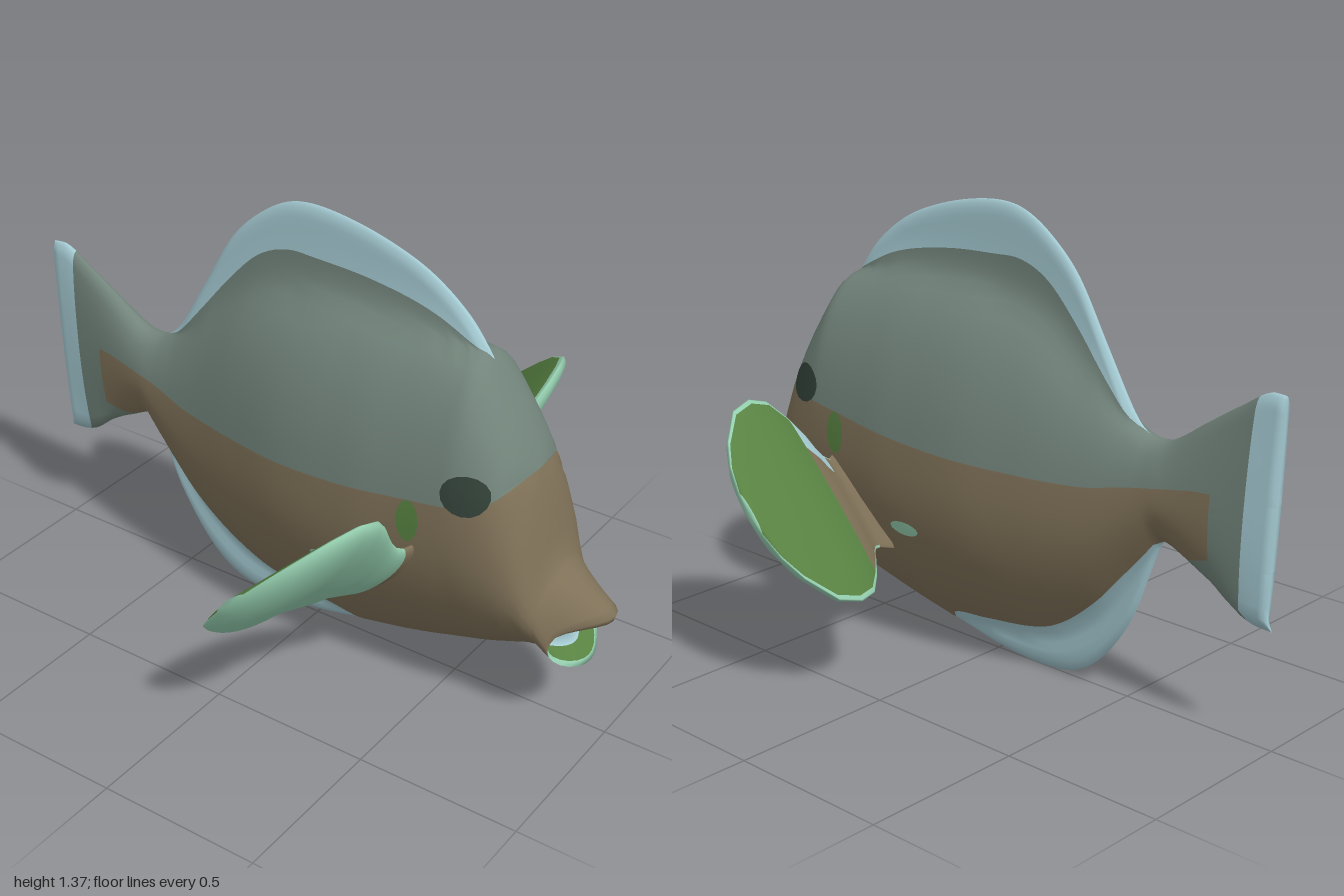
import * as THREE from 'three';
import { mergeVertices } from 'three/addons/utils/BufferGeometryUtils.js';

const paint = (name, color) => {
  const m = new THREE.MeshStandardMaterial({ color, side: THREE.DoubleSide });
  m.name = name;
  return m;
};
const { smoothstep, clamp } = THREE.MathUtils;

// Smooth curve through flat [z, value, z, value, ...] with falling z
function curve(t) {
  const n = t.length / 2, Z = i => t[2 * i], V = i => t[2 * i + 1];
  const slope = i => {
    const a = Math.max(i - 1, 0), b = Math.min(i + 1, n - 1);
    return (V(b) - V(a)) / (Z(b) - Z(a));
  };
  return z => {
    if (z >= Z(0)) return V(0);
    if (z <= Z(n - 1)) return V(n - 1);
    let i = 0;
    while (z < Z(i + 1)) i++;
    const d = Z(i + 1) - Z(i), s = (z - Z(i)) / d, s2 = s * s, s3 = s2 * s;
    return V(i) * (2 * s3 - 3 * s2 + 1) + V(i + 1) * (3 * s2 - 2 * s3)
      + d * (slope(i) * (s3 - 2 * s2 + s) + slope(i + 1) * (s3 - s2));
  };
}

// Outlines of the fish in side view
const outerTop = curve([0.82, 0.53, 0.8, 0.6, 0.77, 0.72, 0.7, 0.88, 0.63, 1.0, 0.57, 1.09, 0.5, 1.18, 0.4, 1.26, 0.3, 1.31,
  0.15, 1.355, 0, 1.375, -0.1, 1.36, -0.2, 1.3, -0.3, 1.2, -0.4, 1.03, -0.5, 0.86, -0.55, 0.81, -0.6, 0.8,
  -0.65, 0.81, -0.75, 0.88, -0.85, 0.95, -0.93, 1.0, -0.985, 1.0]);
const outerBottom = curve([0.82, 0.262, 0.6, 0.17, 0.4, 0.1, 0.17, 0.05, 0, 0.015, -0.2, 0.003, -0.32, 0.03, -0.42, 0.11,
  -0.52, 0.26, -0.58, 0.42, -0.61, 0.5, -0.64, 0.505, -0.7, 0.48, -0.8, 0.425, -0.87, 0.37, -0.92, 0.35, -0.985, 0.345]);
// Where the fin colours meet the body colours
const finTop = curve([0.57, 1.09, 0.4, 1.17, 0.2, 1.21, 0, 1.222, -0.1, 1.22, -0.2, 1.175, -0.3, 1.075, -0.42, 0.93, -0.5, 0.84, -0.55, 0.81]);
const finBottom = curve([0.17, 0.05, 0.13, 0.1, 0, 0.115, -0.2, 0.14, -0.3, 0.19, -0.42, 0.29, -0.5, 0.38, -0.57, 0.46, -0.61, 0.505, -0.7, 0.485, -0.8, 0.51]);
const split = curve([0.74, 0.8, 0.68, 0.745, 0.6, 0.72, 0.45, 0.7, 0.2, 0.67, -0.1, 0.65, -0.4, 0.645, -0.55, 0.67, -0.75, 0.7]);
// The thick flesh inside those outlines
const fleshTop = curve([0.57, 1.09, 0.4, 1.115, 0.2, 1.125, 0, 1.11, -0.2, 1.05, -0.4, 0.9, -0.5, 0.83, -0.55, 0.81]);
const fleshBottom = curve([0.17, 0.05, 0, 0.07, -0.2, 0.11, -0.4, 0.23, -0.55, 0.41, -0.62, 0.51]);
const girth = curve([0.82, 0.155, 0.78, 0.177, 0.72, 0.2, 0.6, 0.219, 0.4, 0.231, 0.25, 0.235, 0, 0.217, -0.2, 0.175,
  -0.4, 0.127, -0.6, 0.082, -0.8, 0.047, -0.92, 0.027, -0.985, 0.014]);

// Half width of the fish at a given z and y
function halfWidth(z, y) {
  const ot = outerTop(z), ob = outerBottom(z);
  const top = z < 0.57 && z > -0.55 ? Math.min(fleshTop(z), ot) : ot;
  const bottom = z < 0.17 && z > -0.62 ? Math.max(fleshBottom(z), ob) : ob;
  const mid = bottom + 0.46 * (top - bottom);
  const u = Math.min(1, y > mid ? (y - mid) / (top - mid) : (mid - y) / (mid - bottom));
  const head = smoothstep(z, 0.35, 0.68);
  const power = y > mid
    ? 0.52 - 0.1 * head + 0.13 * smoothstep(z, 0.7, 0.82)
    : 0.85 - 0.25 * (head + smoothstep(-z, 0.55, 0.75));
  const edge = Math.max(0, Math.min(ot - y, y - ob));
  const flare = 0.028 * Math.min(1, (ot - top) / 0.15) * Math.exp(-Math.abs(y - top) / 0.045);
  const fin = (Math.min(0.014, girth(z)) + flare) * Math.min(1, Math.sqrt(edge / 0.03));
  return Math.hypot(girth(z) * Math.pow(1 - u * u, power), fin);
}

// Skin over rows of closed rings; pick(i, j, centre) returns a material
function skin(name, rows, pick) {
  const n = rows[0].length, faces = new Map();
  rows.slice(1).forEach((next, i) => {
    for (let j = 0; j < n; j++) {
      const k = (j + 1) % n, a = i * n + j, b = i * n + k;
      const centre = rows[i][j].clone().add(rows[i][k]).add(next[j]).add(next[k]).multiplyScalar(0.25);
      const m = pick(i, j, centre);
      if (!faces.has(m)) faces.set(m, []);
      faces.get(m).push(a, a + n, b, b, a + n, b + n);
    }
  });
  let geo = new THREE.BufferGeometry().setFromPoints(rows.flat());
  geo.setIndex([...faces.values()].flat());
  geo = mergeVertices(geo, 1e-5);
  geo.clearGroups();
  let start = 0;
  [...faces.values()].forEach((f, g) => { geo.addGroup(start, f.length, g); start += f.length; });
  geo.computeVertexNormals();
  const mesh = new THREE.Mesh(geo, [...faces.keys()]);
  mesh.name = name;
  return mesh;
}

export function createModel() {
  const back = paint('slate back', 0x72847b), belly = paint('brown belly', 0x7f7158), trim = paint('pale blue trim', 0xa6ccd4);
  const sea = paint('sea green', 0x94cdae), leaf = paint('leaf green', 0x588242), dark = paint('dark eye', 0x334239);
  const fish = new THREE.Group();
  fish.name = 'fish';
  const V = (x, y, z) => new THREE.Vector3(x, y, z);

  // Body rings: bottom fin, belly, back and top fin bands on each side
  const bands = [5, 14, 14, 8], total = 41;
  const ease = [t => t, t => (1 - Math.cos(Math.PI * t)) / 2, t => Math.sin(Math.PI * t / 2), t => Math.sin(Math.PI * t / 2)];
  const ring = z => {
    const ot = outerTop(z), ob = outerBottom(z);
    const ft = z < 0.57 && z > -0.55 ? Math.min(finTop(z), ot) : ot;
    const fb = z < 0.17 ? Math.max(finBottom(z), ob) : ob;
    const levels = [ob, fb, Math.max(fb, Math.min(split(z), ft)), ft, ot];
    const side = [V(0, ob, z)];
    bands.forEach((n, b) => {
      for (let i = 1; i <= n; i++) {
        const y = levels[b] + (levels[b + 1] - levels[b]) * ease[b](i / n);
        const lean = clamp((-0.65 - z) / 0.2, 0, 1) * 0.05;
        side.push(V(i === n && b === 3 ? 0 : halfWidth(z, y), y, z - (y - 0.68) * lean));
      }
    });
    return [...side, ...side.slice(1, -1).reverse().map(p => V(-p.x, p.y, p.z))];
  };
  const first = ring(0.82);

  // Lips and mouth cavity continue the first ring; the upper lip comes to a point
  const lip = first.map(p => {
    const a = Math.atan2(p.x / 0.155, (p.y - 0.396) / 0.134), c = Math.cos(a);
    return V(0.138 * Math.sin(a), 0.315 + (c > 0 ? 0.095 : 0.085) * c, 0.87 + (c > 0 ? 0.13 * c ** 3 : 0.065 * c * c));
  });
  const inside = (sx, sy, dz) => lip.map(p => V(p.x * sx, 0.31 + (p.y - 0.31) * sy, p.z - dz));
  const rows = [lip.map(() => V(0, 0.31, 0.83)), inside(0.7, 0.45, 0.05), inside(0.9, 0.8, 0.006), lip];
  for (let k = 1; k < 8; k++) rows.push(lip.map((p, j) => p.clone().lerp(first[j], k / 8)));
  const bodyStart = rows.length;
  for (let k = 0; k <= 90; k++) rows.push(ring(0.82 - 0.02 * k));
  const end = rows[rows.length - 1];
  rows.push(end.map(p => V(0, p.y, p.z - 0.004)));

  fish.add(skin('body', rows, (i, j, c) => {
    if (i < 1) return trim;
    if (i < 2) return c.y < 0.3 ? leaf : trim;
    if (i < 4) return c.y < 0.31 ? sea : belly;
    if (i < bodyStart) return belly;
    const z = 0.82 - 0.02 * (i - bodyStart + 0.5);
    if (z < -0.9) return trim;
    if (z < -0.8) return back;
    const s = j < total ? j : 2 * total - 1 - j;
    if (s < 5) return z < -0.61 ? back : trim;
    return s < 19 ? belly : s < 33 ? back : trim;
  }));

  // Thin oval patches that follow the flank
  const patch = (name, mat, side, z, y, rz, ry) => {
    const geo = new THREE.RingGeometry(0, 1, 16, 4), p = geo.attributes.position;
    for (let i = 0; i < p.count; i++) {
      const pz = z + rz * p.getX(i), py = y + ry * p.getY(i);
      p.setXYZ(i, side * (halfWidth(pz, py) + 0.005), py, pz);
    }
    if (side > 0) geo.index.array.reverse();
    geo.computeVertexNormals();
    const mesh = new THREE.Mesh(geo, mat);
    mesh.name = name;
    fish.add(mesh);
  };

  // Pectoral fin stations: x, centre y, centre z, half height
  const stations = [[0.19, 0.44, 0.375, 0.13], [0.25, 0.445, 0.36, 0.115], [0.28, 0.458, 0.35, 0.12], [0.31, 0.475, 0.337, 0.137],
    [0.34, 0.495, 0.322, 0.16], [0.39, 0.518, 0.305, 0.2], [0.45, 0.538, 0.288, 0.238], [0.52, 0.55, 0.273, 0.248],
    [0.6, 0.557, 0.262, 0.23], [0.68, 0.564, 0.253, 0.165], [0.72, 0.568, 0.249, 0.11], [0.742, 0.57, 0.246, 0.05], [0.747, 0.57, 0.245, 0]];
  const segs = 40;
  for (const side of [1, -1]) {
    // Nearly flat behind, domed in front
    const finRows = stations.map(([x, y, z, h]) => Array.from({ length: segs }, (_, j) => {
      const a = 2 * Math.PI * j / segs, up = h * Math.cos(a), s = Math.sin(a);
      const dome = Math.min(h * 0.4, 0.045 + 0.035 * smoothstep(x, 0.25, 0.4));
      const out = -s * (s > 0 ? Math.min(0.014, h * 0.3) : dome);
      return V(side * x, y + up - 0.68 * out, z + 0.94 * up + 0.73 * out);
    }));
    if (side < 0) finRows.reverse();
    fish.add(skin(side > 0 ? 'leftPectoralFin' : 'rightPectoralFin', finRows, (i, j, c) => {
      const s = Math.sin(2 * Math.PI * (j + 0.5) / segs), x = Math.abs(c.x);
      if (x < 0.25) return belly;
      if (s < 0.3 || x > 0.735) return sea;
      if (x > 0.39) return leaf;
      return x > 0.28 && c.z > 0.4 ? trim : belly;
    }));
    patch('eye', dark, side, 0.62, 0.76, 0.068, 0.058);
    patch('upperFinPatch', leaf, side, 0.46, 0.64, 0.035, 0.065);
    patch('lowerFinPatch', sea, side, 0.18, 0.4, 0.055, 0.022);
  }
  return fish;
}
